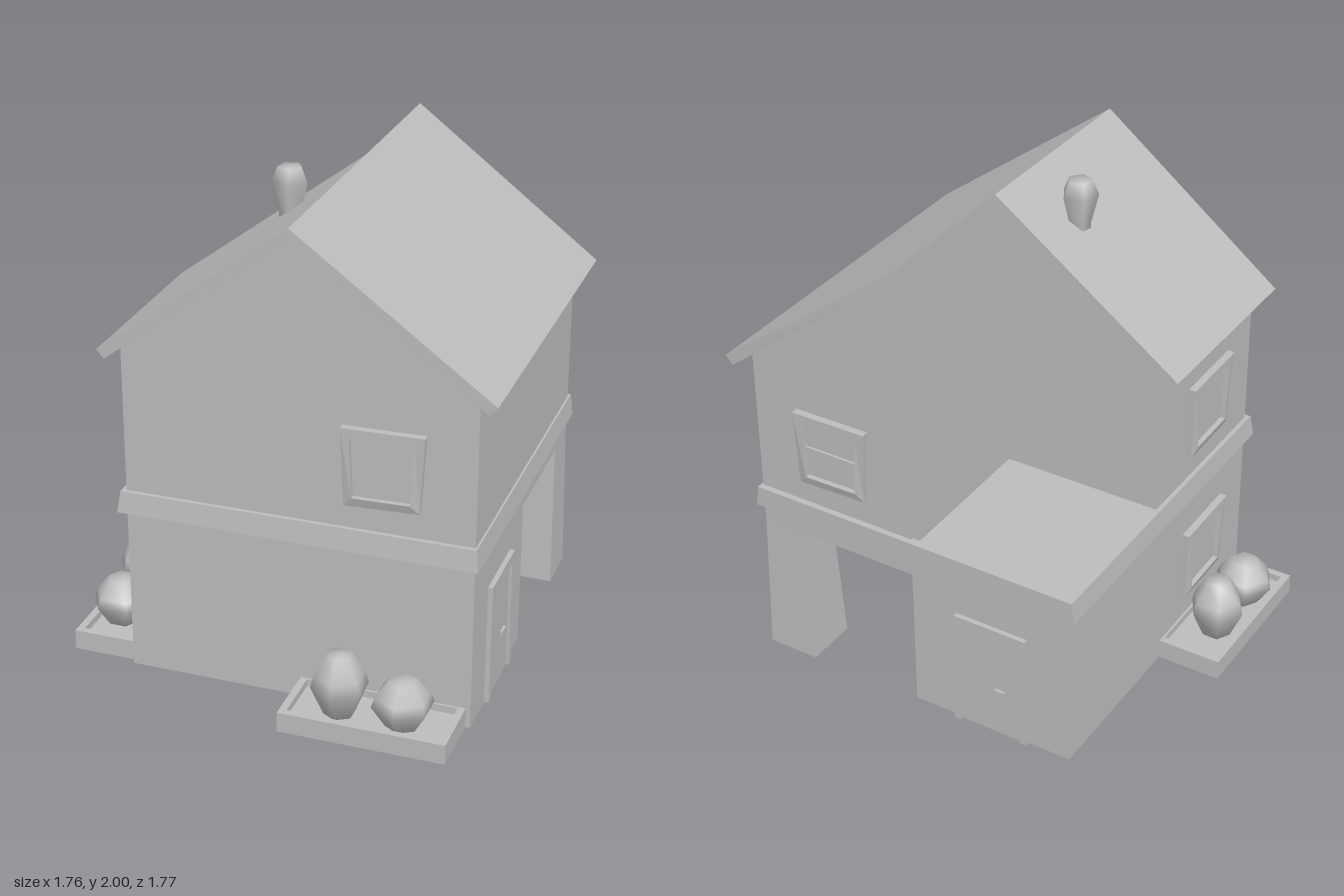
import * as THREE from 'three';

const plaster = new THREE.MeshStandardMaterial({ color: 0xbcbcbc });
plaster.name = 'plaster grey';

const X0 = -0.61, X1 = 0.805, Z0 = -0.81, Z1 = 0.61; // outer walls
const MX = 0.1, MZ = -0.1;                           // lines dividing the quadrants

export function createModel() {
  const house = new THREE.Group();
  house.name = 'house';

  const add = (name, geo, parent = house) => {
    const mesh = new THREE.Mesh(geo, plaster);
    mesh.name = name;
    parent.add(mesh);
    return mesh;
  };
  const shapeOf = (pts) => new THREE.Shape(pts.map(([x, y]) => new THREE.Vector2(x, y)));
  const rect = (a, b, c, d) => [[a, c], [b, c], [b, d], [a, d]];
  const box = (name, x0, x1, y0, y1, z0, z1, parent) =>
    add(name, new THREE.BoxGeometry(x1 - x0, y1 - y0, z1 - z0)
      .translate((x0 + x1) / 2, (y0 + y1) / 2, (z0 + z1) / 2), parent);
  // profile in x,y run along z
  const alongZ = (pts, z0, z1, hole) => {
    const s = shapeOf(pts);
    if (hole) s.holes.push(shapeOf(hole));
    return new THREE.ExtrudeGeometry(s, { depth: z1 - z0, bevelEnabled: false }).translate(0, 0, z0);
  };
  // plan in x,z raised from y0 to y1
  const upright = (pts, y0, y1, hole) =>
    alongZ(pts, 0, y1 - y0, hole).rotateX(Math.PI / 2).translate(0, y1, 0);
  const bend = (geo, rule) => {
    const p = geo.attributes.position, v = new THREE.Vector3();
    for (let i = 0; i < p.count; i++) {
      rule(v.fromBufferAttribute(p, i));
      p.setXYZ(i, v.x, v.y, v.z);
    }
    geo.computeVertexNormals();
    return geo;
  };

  // Ground floor: L-shaped, with a covered corner resting on a pillar
  add('groundFloor', upright(
    [[X0, Z0], [MX, Z0], [MX, MZ], [X1, MZ], [X1, Z1], [X0, Z1]], 0, 0.7));
  box('passageCeiling', MX, X1, 0.62, 0.7, Z0, MZ);
  const pillar = new THREE.BoxGeometry(0.185, 0.62, 0.185).translate(X1 - 0.0925, 0.31, Z0 + 0.0925);
  add('pillar', bend(pillar, (v) => {
    if (v.y < 0.1) {
      v.x += v.x > 0.7 ? 0.012 : -0.025;
      v.z += v.z < -0.7 ? -0.012 : 0.025;
    }
  }));

  // Belt course, which also forms the terrace parapet
  const belt = upright(rect(X0 - 0.03, X1 + 0.02, Z0 - 0.025, Z1 + 0.03), 0.7, 0.79,
    rect(X0, MX, Z0 + 0.01, MZ));
  add('beltCourse', bend(belt, (v) => {
    if (v.y > 0.75) {
      if (v.x < X0 - 0.02) v.x += 0.012;
      if (v.x > X1 + 0.01) v.x -= 0.012;
      if (v.z > Z1 + 0.02) v.z -= 0.012;
    }
  }));
  box('terraceFloor', X0, MX, 0.7, 0.745, Z0, MZ);

  // Upper floor: full-length half and short half under one gable
  add('upperFloorLeft', alongZ([[MX, 0.78], [X1, 0.78], [X1, 1.4], [MX, 1.95]], Z0, Z1));
  add('upperFloorRight', alongZ([[X0, 0.78], [MX, 0.78], [MX, 1.95], [X0, 1.4]], MZ, Z1));

  // Roof slopes, a little longer at the ridge than at the eaves
  for (const [name, side, back] of [['roofLeft', 1, -0.87], ['roofRight', -1, -0.16]]) {
    let pts = [[0, 1.945], [0.755, 1.365], [0.785, 1.4], [0, 1.99]].map(([x, y]) => [MX + side * x, y]);
    if (side < 0) pts = pts.reverse();
    const mid = (back + 0.665) / 2;
    add(name, bend(alongZ(pts, back, 0.665), (v) => {
      if (Math.abs(v.x - MX) < 0.01) v.z += v.z > mid ? 0.02 : -0.02;
    }));
  }

  // Chimney with a wide cap
  const lathe = (name, pts, sides, turn, x, z) => {
    const g = new THREE.LatheGeometry(pts.map(([r, y]) => new THREE.Vector2(r, y)), sides, turn);
    add(name, g).position.set(x, 0, z);
  };
  lathe('chimney', [[0.042, 1.7], [0.045, 1.82], [0.074, 1.94], [0.05, 2], [0, 2]], 5, 0.2, -0.12, 0.07);

  // Windows and doors, built facing +z and then set on a wall
  const place = (name, x, y, z, turn) => {
    const g = new THREE.Group();
    g.name = name;
    g.position.set(x, y, z);
    g.rotation.y = turn;
    house.add(g);
    return g;
  };
  const windowAt = (name, x, y, z, turn, bar) => {
    const g = place(name, x, y, z, turn);
    const frame = alongZ([[-0.155, -0.16], [0.145, -0.15], [0.165, 0.17], [-0.165, 0.165]], -0.01, 0.03,
      [[-0.12, -0.12], [0.11, -0.115], [0.125, 0.13], [-0.13, 0.125]]);
    add('windowFrame', bend(frame, (v) => {
      if (v.z > 0.02 && v.y < -0.14) v.z -= 0.012;
    }), g);
    box('windowPane', -0.13, 0.125, -0.125, 0.13, 0, 0.008, g);
    if (bar) box('windowBar', -0.12, 0.11, -0.01, 0.015, 0, 0.018, g);
  };
  const doorAt = (name, x, z, turn) => {
    const g = place(name, x, 0, z, turn);
    add('doorFrame', alongZ([[-0.165, 0], [-0.135, 0], [-0.125, 0.475], [0.125, 0.475],
      [0.135, 0], [0.165, 0], [0.16, 0.515], [-0.16, 0.515]], -0.01, 0.02), g);
    box('doorPanel', -0.132, 0.132, 0, 0.48, 0, 0.008, g);
    box('doorHandle', 0.02, 0.065, 0.2, 0.22, 0, 0.02, g);
  };
  windowAt('frontWindow', 0.445, 1.05, Z1, 0, false);
  windowAt('backWindow', 0.445, 1.05, Z0, Math.PI, true);
  windowAt('upperRightWindow', X0, 1.05, 0.25, -Math.PI / 2, false);
  windowAt('lowerRightWindow', X0, 0.35, 0.25, -Math.PI / 2, false);
  doorAt('leftDoor', X1, 0.25, Math.PI / 2);
  doorAt('backDoor', -0.26, Z0, Math.PI);

  // Planters with a raised rim and faceted bushes
  const planter = (name, x0, x1, z0, z1) => {
    const t = 0.03;
    add(name, upright(rect(x0, x1, z0, z1), 0, 0.085, rect(x0 + t, x1 - t, z0 + t, z1 - t)));
    box(name + 'Soil', x0 + t, x1 - t, 0, 0.055, z0 + t, z1 - t);
  };
  planter('frontPlanter', 0.11, 0.785, Z1 - 0.02, 0.88);
  planter('sidePlanter', -0.88, X0 + 0.02, -0.085, 0.585);
  const bush = (x, z, r, top, turn) => lathe('bush',
    [[0, 0.04], [r * 0.55, 0.055], [r, top * 0.5 + 0.02], [r * 0.88, top * 0.66 + 0.02], [r * 0.45, top], [0, top + 0.004]],
    6, turn, x, z);
  bush(0.32, 0.75, 0.115, 0.315, 0);
  bush(0.575, 0.75, 0.125, 0.25, 0);
  bush(-0.76, 0.13, 0.115, 0.315, Math.PI / 6);
  bush(-0.755, 0.385, 0.125, 0.25, Math.PI / 6);

  return house;
}
